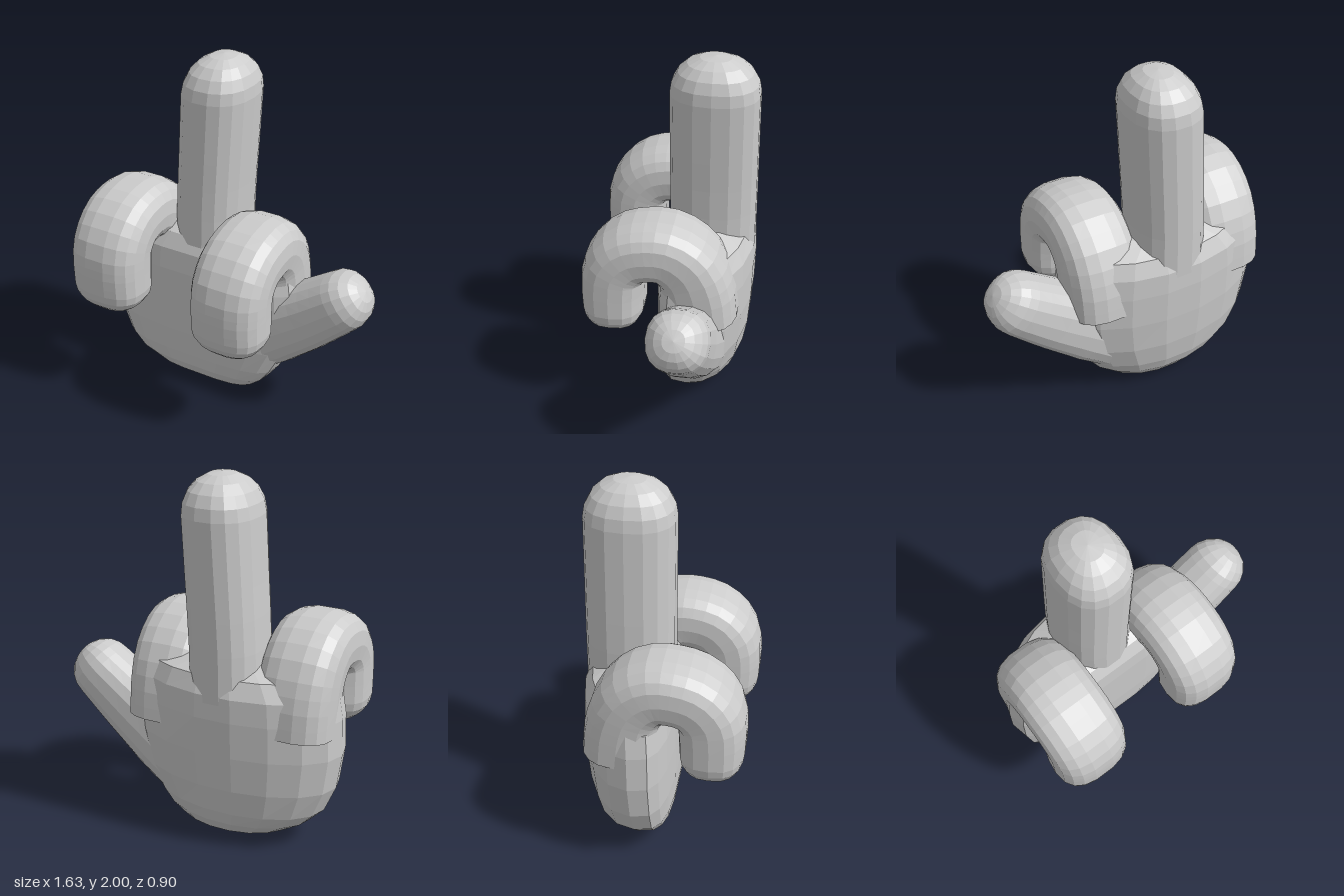
import * as THREE from 'three';

const SIDES = 18;
const material = new THREE.MeshStandardMaterial({ color: 0xcccccc, flatShading: true, side: THREE.DoubleSide });
const spow = (v, p) => Math.sign(v) * Math.pow(Math.abs(v), p);

// Skin a list of closed rings; each ring has SIDES points
function loft(name, rings) {
  const index = [];
  for (let i = 0; i < rings.length - 1; i++) {
    for (let j = 0; j < SIDES; j++) {
      const k = (j + 1) % SIDES;
      const a = i * SIDES + j, b = i * SIDES + k;
      index.push(a, b, b + SIDES, a, b + SIDES, a + SIDES);
    }
  }
  const geometry = new THREE.BufferGeometry().setFromPoints(rings.flat());
  geometry.setIndex(index);
  geometry.computeVertexNormals();
  const mesh = new THREE.Mesh(geometry, material);
  mesh.name = name;
  return mesh;
}

// Sweep a soft rounded section along a path and close the tip with a dome.
// Stations are [x, y, z, radius along side, radius across side].
function finger(name, stations, side, steps, dome, power = 0.85) {
  const curve = new THREE.CatmullRomCurve3(stations.map(s => new THREE.Vector3(s[0], s[1], s[2])));
  const ring = (p, t, ra, rb) => {
    const across = new THREE.Vector3().crossVectors(t, side).normalize();
    return Array.from({ length: SIDES }, (_, j) => {
      const a = (j / SIDES) * Math.PI * 2;
      return p.clone()
        .addScaledVector(side, ra * spow(Math.cos(a), power))
        .addScaledVector(across, rb * spow(Math.sin(a), power));
    });
  };
  const rings = [];
  const last = stations.length - 1;
  for (let i = 0; i <= steps; i++) {
    const u = i / steps;
    const n = Math.min(Math.floor(u * last), last - 1);
    const f = u * last - n;
    const radius = c => THREE.MathUtils.lerp(stations[n][c], stations[n + 1][c], f);
    rings.push(ring(curve.getPoint(u), curve.getTangent(u), radius(3), radius(4)));
  }
  const end = curve.getPoint(1), dir = curve.getTangent(1);
  const [, , , ra, rb] = stations[last];
  for (let k = 1; k <= 5; k++) {
    const a = (k / 5) * Math.PI / 2;
    const s = k === 5 ? 0 : Math.pow(Math.cos(a), 0.9);
    rings.push(ring(end.clone().addScaledVector(dir, dome * Math.sin(a)), dir, ra * s, rb * s));
  }
  return loft(name, rings);
}

// Palm levels: [y, left x, right x, back z, front z]; flat front, domed back
function palm() {
  const levels = [
    [0, -0.18, -0.18, -0.15, -0.15],
    [0.008, -0.36, 0.02, -0.24, -0.07],
    [0.05, -0.52, 0.13, -0.33, 0.01],
    [0.12, -0.64, 0.21, -0.38, 0.045],
    [0.2, -0.72, 0.27, -0.41, 0.055],
    [0.35, -0.785, 0.35, -0.435, 0.06],
    [0.55, -0.815, 0.39, -0.45, 0.06],
    [0.75, -0.81, 0.39, -0.455, 0.06],
    [0.88, -0.79, 0.37, -0.45, 0.05],
    [0.97, -0.7, 0.31, -0.41, 0.01],
    [1.02, -0.5, 0.1, -0.3, -0.07],
    [1.03, -0.2, -0.2, -0.18, -0.18],
  ];
  return loft('palm', levels.map(([y, x0, x1, z0, z1]) => {
    const zc = z0 + (z1 - z0) * 0.62;
    return Array.from({ length: SIDES }, (_, j) => {
      const a = (j / SIDES) * Math.PI * 2;
      const c = Math.cos(a), s = Math.sin(a);
      const p = s < -1e-6 ? 0.6 : 1;
      const depth = s > 0 ? zc - z0 : z1 - zc;
      return new THREE.Vector3((x0 + x1) / 2 + (x1 - x0) / 2 * spow(c, p), y, zc - depth * spow(s, p));
    });
  }));
}

// Curled finger: rises from the palm, arches forward and hangs down
function curledFinger(name, x, rootX, width, lift) {
  const path = [
    [-0.2, 0.62, 0.2], [-0.18, 0.8, 0.2], [-0.13, 0.94, 0.19], [-0.03, 1.025, 0.18],
    [0.08, 1.035, 0.175], [0.19, 1.0, 0.175], [0.265, 0.91, 0.175], [0.28, 0.8, 0.175], [0.28, 0.67, 0.17],
  ];
  const stations = path.map(([z, y, r], i) =>
    [THREE.MathUtils.lerp(rootX, x, Math.min(1, i / 4)), y + lift, z, width, r]);
  return finger(name, stations, new THREE.Vector3(1, 0, 0), 20, 0.15, 0.75);
}

export function createModel() {
  const group = new THREE.Group();
  group.name = 'hand';
  group.add(palm());

  // Straight finger
  group.add(finger('straightFinger', [
    [-0.205, 0.7, -0.21, 0.2, 0.24],
    [-0.2, 1.1, -0.21, 0.2, 0.24],
    [-0.18, 1.45, -0.21, 0.2, 0.24],
    [-0.16, 1.79, -0.21, 0.2, 0.24],
  ], new THREE.Vector3(1, 0, 0), 6, 0.21));

  // Curled fingers on either side
  group.add(curledFinger('innerCurledFinger', 0.185, 0.17, 0.213, 0));
  group.add(curledFinger('outerCurledFinger', -0.585, -0.575, 0.215, 0.045));

  // Thumb
  group.add(finger('thumb', [
    [0.02, 0.3, -0.16, 0.19, 0.21],
    [0.23, 0.46, -0.15, 0.185, 0.22],
    [0.44, 0.605, -0.14, 0.175, 0.195],
    [0.64, 0.76, -0.135, 0.17, 0.17],
  ], new THREE.Vector3(0, 0, 1), 9, 0.17));

  return group;
}
